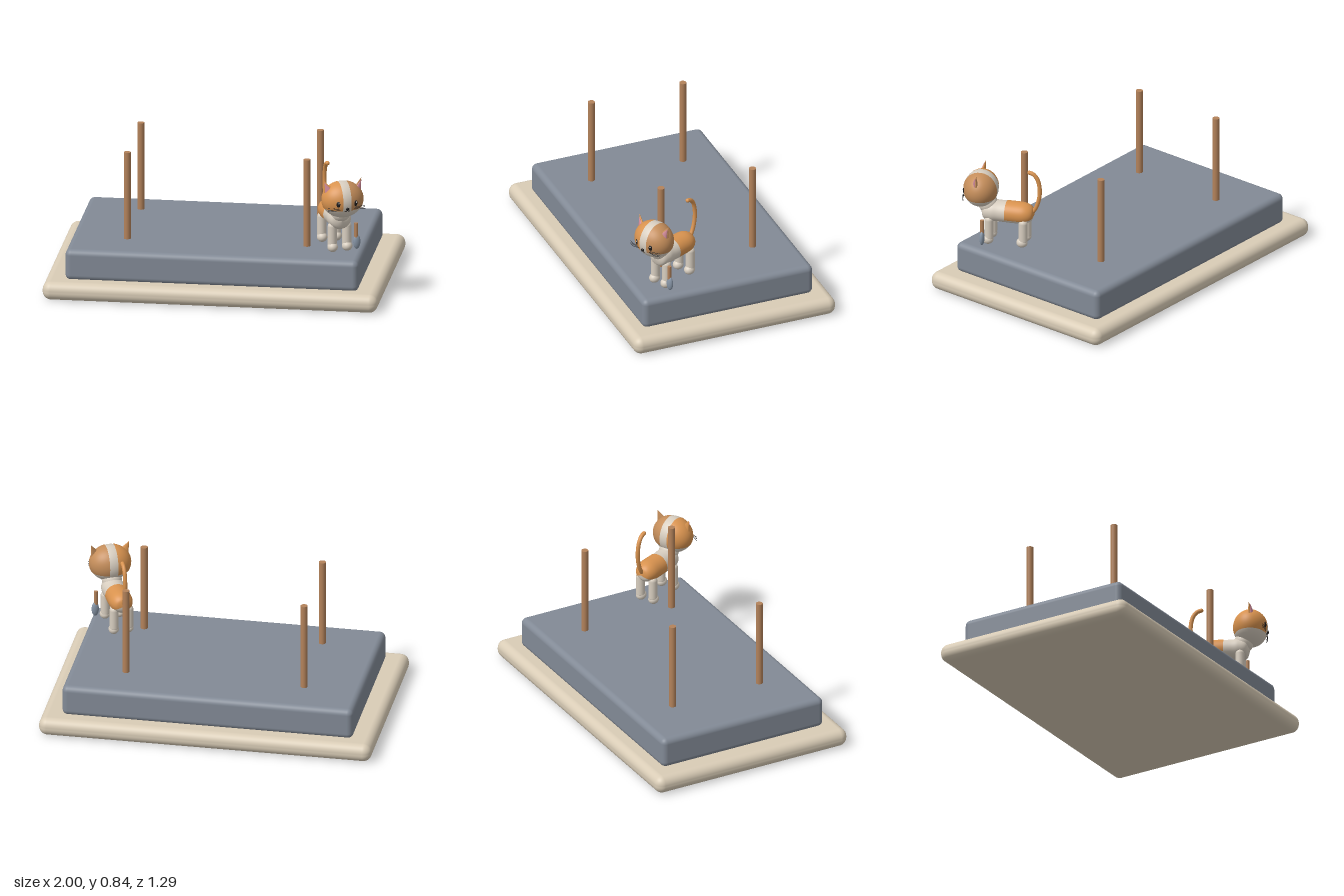
import * as THREE from 'three';
import { RoundedBoxGeometry } from 'three/addons/geometries/RoundedBoxGeometry.js';
import { ParametricGeometry } from 'three/addons/geometries/ParametricGeometry.js';

const mat = (name, color) => Object.assign(new THREE.MeshStandardMaterial({ color }), { name });

export function createModel() {
  const M = {
    cream: mat('cream', 0xd9ccb6),
    slate: mat('slate', 0x828a96),
    wood: mat('wood', 0xb3825a),
    fur: mat('whiteFur', 0xd8cec0),
    orange: mat('orangeFur', 0xd9934f),
    tan: mat('tanFur', 0xc48d5a),
    pink: mat('pink', 0xd08a98),
    black: mat('black', 0x1c1a1a),
    steel: mat('steel', 0x8795a6),
    white: mat('white', 0xf4f2ee),
  };
  const root = new THREE.Group();
  const cat = new THREE.Group();
  cat.name = 'cat';

  const add = (parent, name, geo, material, x = 0, y = 0, z = 0) => {
    const m = new THREE.Mesh(geo, material);
    m.name = name;
    m.position.set(x, y, z);
    parent.add(m);
    return m;
  };
  const ball = (parent, name, material, x, y, z, rx, ry = rx, rz = rx) => {
    const m = add(parent, name, new THREE.SphereGeometry(1, 32, 24), material, x, y, z);
    m.scale.set(rx, ry, rz);
    return m;
  };
  const tube = (parent, name, material, pts, r, seg = 32) => add(parent, name, new THREE.TubeGeometry(
    new THREE.CatmullRomCurve3(pts.map(p => new THREE.Vector3(...p))), seg, r, 10), material);

  // Base slab, raised block and four posts
  add(root, 'base', new RoundedBoxGeometry(2, 0.11, 1.29, 6, 0.05), M.cream, 0, 0.055, 0);
  add(root, 'block', new RoundedBoxGeometry(1.75, 0.19, 1.09, 5, 0.035), M.slate, 0, 0.195, 0);
  for (const x of [-0.537, 0.535]) for (const z of [-0.293, 0.293])
    add(root, 'post', new THREE.CylinderGeometry(0.021, 0.021, 0.535, 24), M.wood, x, 0.5675, z);

  // Cat: modelled facing +z, then turned and placed
  cat.position.set(0.70, 0, 0.29);
  cat.rotation.y = 0.44;
  root.add(cat);

  // Body as a lathed capsule, with an orange saddle over the rump
  const profile = new THREE.SplineCurve([
    [0, -0.165], [0.04, -0.152], [0.062, -0.11], [0.065, -0.04], [0.064, 0.04],
    [0.066, 0.09], [0.052, 0.135], [0, 0.155],
  ].map(p => new THREE.Vector2(...p))).getPoints(56);
  profile.forEach(p => { p.x = Math.max(p.x, 0); });
  const body = add(cat, 'body', new THREE.LatheGeometry(profile, 36).rotateX(Math.PI / 2), M.fur, 0, 0.507, 0);
  const saddlePts = profile.filter(p => p.y < 0.003).map(p => new THREE.Vector2(p.x * 1.03, p.y * 1.02));
  const saddle = add(cat, 'saddle',
    new THREE.LatheGeometry(saddlePts, 30, Math.PI - 2.05, 4.1).rotateX(Math.PI / 2), M.orange, 0, 0.507, 0);
  body.scale.x = saddle.scale.x = 1.06;
  ball(cat, 'neck', M.fur, 0, 0.55, 0.115, 0.06, 0.06, 0.058);

  // Legs and paws
  for (const s of [-1, 1]) for (const z of [0.098, -0.11]) {
    add(cat, 'leg', new THREE.CapsuleGeometry(0.027, 0.11, 8, 20), M.fur, s * 0.045, 0.405, z);
    ball(cat, 'paw', M.fur, s * 0.045, 0.335, z + 0.007, 0.031, 0.03, 0.034);
  }

  // Tail
  tube(cat, 'tail', M.orange, [[0, 0.5, -0.135], [0, 0.54, -0.17], [0, 0.6, -0.193], [0, 0.67, -0.2],
    [0, 0.735, -0.187], [0, 0.768, -0.162], [0, 0.777, -0.137]], 0.0125, 40);
  ball(cat, 'tailTip', M.orange, 0, 0.777, -0.137, 0.0125);

  // Head with two coloured cheek patches that leave a white centre stripe
  const HY = 0.644, HZ = 0.157, HR = [0.125, 0.11, 0.103];
  ball(cat, 'head', M.fur, 0, HY, HZ, ...HR);
  const patch = s => new ParametricGeometry((u, v, out) => {
    const x0 = 0.2, t0 = Math.asin(-0.42), t1 = Math.acos(x0);
    const t = t0 + (t1 - t0) * v, r = Math.cos(t);
    const a = Math.acos(Math.min(1, x0 / r)) * (1 - 2 * u) * s;
    out.set(s * r * Math.cos(a), Math.sin(t), r * Math.sin(a));
  }, 32, 24);
  for (const s of [-1, 1]) {
    const p = add(cat, 'headPatch', patch(s), s > 0 ? M.tan : M.orange, 0, HY, HZ);
    p.scale.set(...HR.map(r => r * 1.015));
  }

  for (const s of [-1, 1]) {
    // Ears
    const ear = new THREE.Group();
    ear.name = 'ear';
    ear.position.set(s * 0.1, 0.73, 0.164);
    ear.rotation.set(0, s * 0.35, -s * 0.42, 'YXZ');
    cat.add(ear);
    add(ear, 'outerEar', new THREE.ConeGeometry(0.034, 0.085, 24), s > 0 ? M.tan : M.orange).scale.z = 0.45;
    add(ear, 'innerEar', new THREE.ConeGeometry(0.026, 0.068, 24), M.pink, 0, -0.004, 0.007).scale.z = 0.45;

    // Eyes with highlights
    const eye = ball(cat, 'eye', M.black, s * 0.054, 0.641, 0.249, 0.012, 0.018, 0.006);
    eye.rotation.y = s * 0.5;
    ball(cat, 'eyeHighlight', M.white, s * 0.054 + 0.002, 0.648, 0.2555, 0.004, 0.004, 0.002);

    // Mouth and whiskers
    tube(cat, 'mouth', M.black, [[0, 0.605, 0.258], [s * 0.007, 0.596, 0.255], [s * 0.016, 0.599, 0.253]], 0.0017, 10);
    for (const k of [-1, 0, 1])
      tube(cat, 'whisker', M.black, [[s * 0.04, 0.611 + k * 0.005, 0.248],
        [s * 0.08, 0.611 + k * 0.009, 0.25], [s * 0.115, 0.609 + k * 0.011, 0.238]], 0.0014, 10);
  }
  ball(cat, 'nose', M.black, 0, 0.612, 0.26, 0.011, 0.008, 0.007);

  // Small spoon beside the left front leg
  add(cat, 'spoonHandle', new THREE.CylinderGeometry(0.0115, 0.0115, 0.11, 16), M.wood, 0.094, 0.423, 0.128);
  ball(cat, 'spoonBowl', M.steel, 0.098, 0.362, 0.128, 0.022, 0.045, 0.015);

  return root;
}
